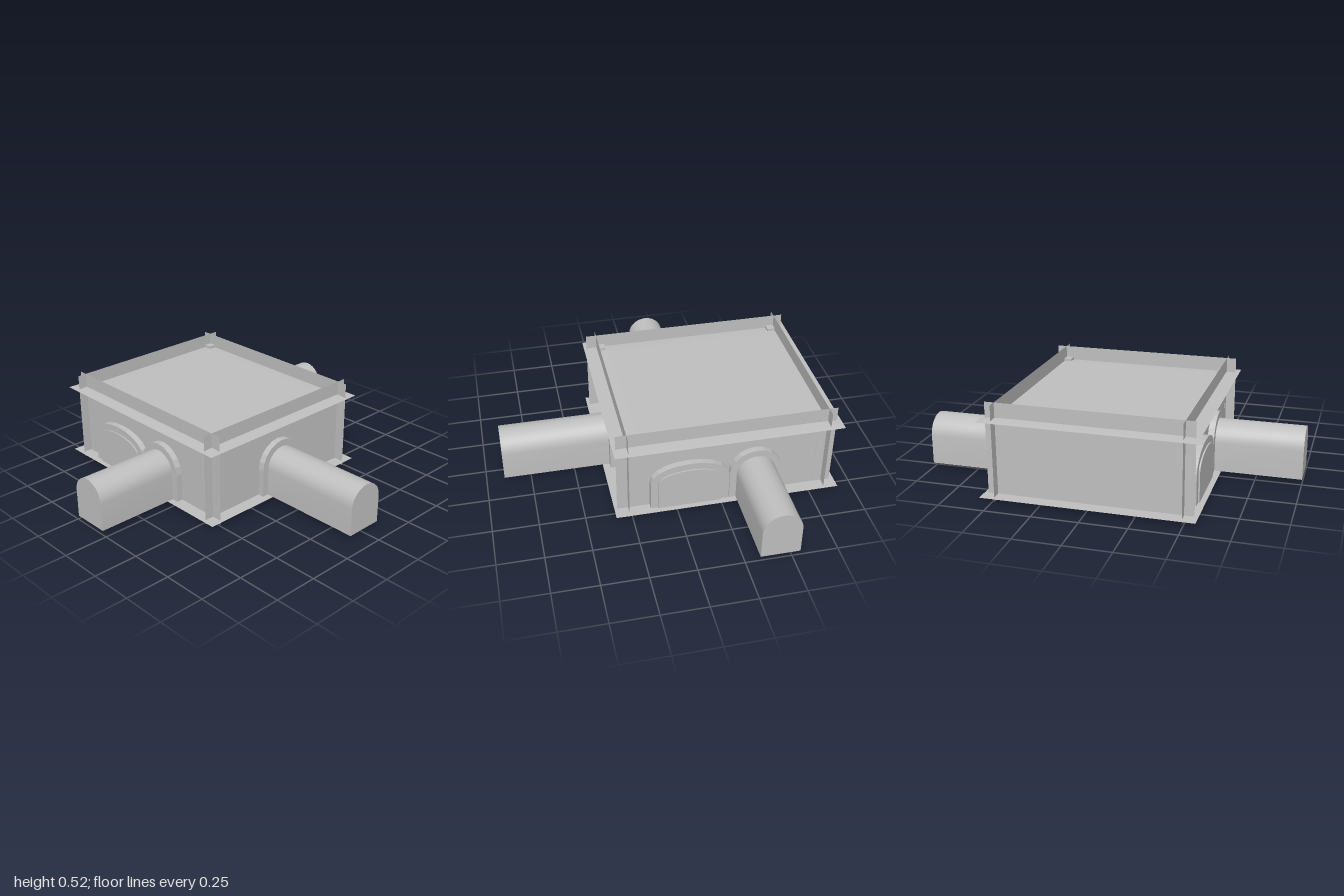
import * as THREE from 'three';
import { toCreasedNormals } from 'three/addons/utils/BufferGeometryUtils.js';

const FLOOR = 0.025, MID_Z = -0.285, WALL_X = 0.49, WALL_Z = 0.55;

// Outline of a straight-sided arch with an elliptical head
function archPoints(halfWidth, spring, rise, segments) {
  const pts = [new THREE.Vector2(-halfWidth, FLOOR), new THREE.Vector2(halfWidth, FLOOR)];
  for (let i = 0; i <= segments; i++) {
    const a = (i / segments) * Math.PI;
    pts.push(new THREE.Vector2(Math.cos(a) * halfWidth, spring + Math.sin(a) * rise));
  }
  return pts;
}

export function createModel() {
  const model = new THREE.Group();
  model.name = 'vaultRoom';
  const stone = new THREE.MeshStandardMaterial({ color: 0xbfbfbf, side: THREE.DoubleSide });
  stone.name = 'grey stone';

  function add(parent, name, geometry, x = 0, y = 0, z = 0) {
    const mesh = new THREE.Mesh(geometry, stone);
    mesh.name = name;
    mesh.position.set(x, y, z);
    parent.add(mesh);
    return mesh;
  }

  // Solid arch body running outward along local +z
  function archBody(parent, name, halfWidth, spring, rise, depth) {
    const geo = new THREE.ExtrudeGeometry(new THREE.Shape(archPoints(halfWidth, spring, rise, 14)),
      { depth, bevelEnabled: false });
    add(parent, name, toCreasedNormals(geo, 0.6));
  }

  // Raised arch surround: outer outline, then back along the inner one
  function archFrame(parent, halfWidth, spring, rise, innerHalf, innerRise, depth) {
    const outer = archPoints(halfWidth, spring, rise, 10).slice(1);
    const inner = archPoints(innerHalf, spring, innerRise, 10).slice(1);
    outer.push(new THREE.Vector2(-halfWidth, FLOOR));
    inner.push(new THREE.Vector2(-innerHalf, FLOOR));
    const shape = new THREE.Shape([...outer, ...inner.reverse()]);
    add(parent, 'archSurround', new THREE.ExtrudeGeometry(shape, { depth, bevelEnabled: false }));
  }

  // Group whose local +z points out of a wall
  function wallGroup(name, x, z, turn) {
    const g = new THREE.Group();
    g.name = name;
    g.position.set(x, 0, z);
    g.rotation.y = turn;
    model.add(g);
    return g;
  }

  function passage(name, x, z, turn, length) {
    const g = wallGroup(name, x, z, turn);
    archBody(g, 'tunnel', 0.107, 0.185, 0.104, length);
    archFrame(g, 0.145, 0.185, 0.143, 0.1, 0.1, 0.035);
  }

  function alcove(name, x, z, turn) {
    const g = wallGroup(name, x, z, turn);
    archBody(g, 'alcovePanel', 0.175, 0.195, 0.066, 0.043);
    archFrame(g, 0.2175, 0.195, 0.106, 0.175, 0.066, 0.035);
  }

  // Thin crossing walls, standing above the ceiling as a parapet
  for (const s of [1, -1]) {
    add(model, s > 0 ? 'frontWall' : 'backWall',
      new THREE.PlaneGeometry(1.085, 0.52), 0, 0.26, MID_Z + s * WALL_Z)
      .rotation.y = s > 0 ? 0 : Math.PI;
    add(model, s > 0 ? 'leftWall' : 'rightWall',
      new THREE.PlaneGeometry(1.21, 0.52), s * WALL_X, 0.26, MID_Z + 0.005)
      .rotation.y = s * Math.PI / 2;
  }

  // Floor sheet
  const floor = new THREE.PlaneGeometry(1.125, 1.25).rotateX(-Math.PI / 2);
  add(model, 'floor', floor, 0, FLOOR, MID_Z);

  // Ceiling sheet, dipping gently near its edges
  const ceiling = new THREE.PlaneGeometry(1.125, 1.25, 30, 30).rotateX(-Math.PI / 2);
  const p = ceiling.attributes.position;
  for (let i = 0; i < p.count; i++) {
    const edge = Math.min(0.5625 - Math.abs(p.getX(i)), 0.625 - Math.abs(p.getZ(i)));
    const t = Math.min(1, edge / 0.17);
    p.setY(i, -0.01 * (1 - t) ** 2);
  }
  ceiling.computeVertexNormals();
  add(model, 'ceiling', ceiling, 0, 0.443, MID_Z);

  // Corner posts poking through the ceiling
  for (const sx of [1, -1]) for (const sz of [1, -1]) {
    add(model, 'cornerPost', new THREE.BoxGeometry(0.046, 0.43, 0.046),
      sx * 0.468, FLOOR + 0.215, MID_Z + sz * 0.525);
  }

  // Front passage, then a passage and an alcove on each side
  passage('frontPassage', -0.002, MID_Z + WALL_Z, 0, 0.635);
  for (const s of [1, -1]) {
    const side = s > 0 ? 'left' : 'right';
    passage(side + 'Passage', s * WALL_X, MID_Z - s * 0.1525, s * Math.PI / 2, 0.51);
    alcove(side + 'Alcove', s * WALL_X, MID_Z + s * 0.2125, s * Math.PI / 2);
  }
  return model;
}
